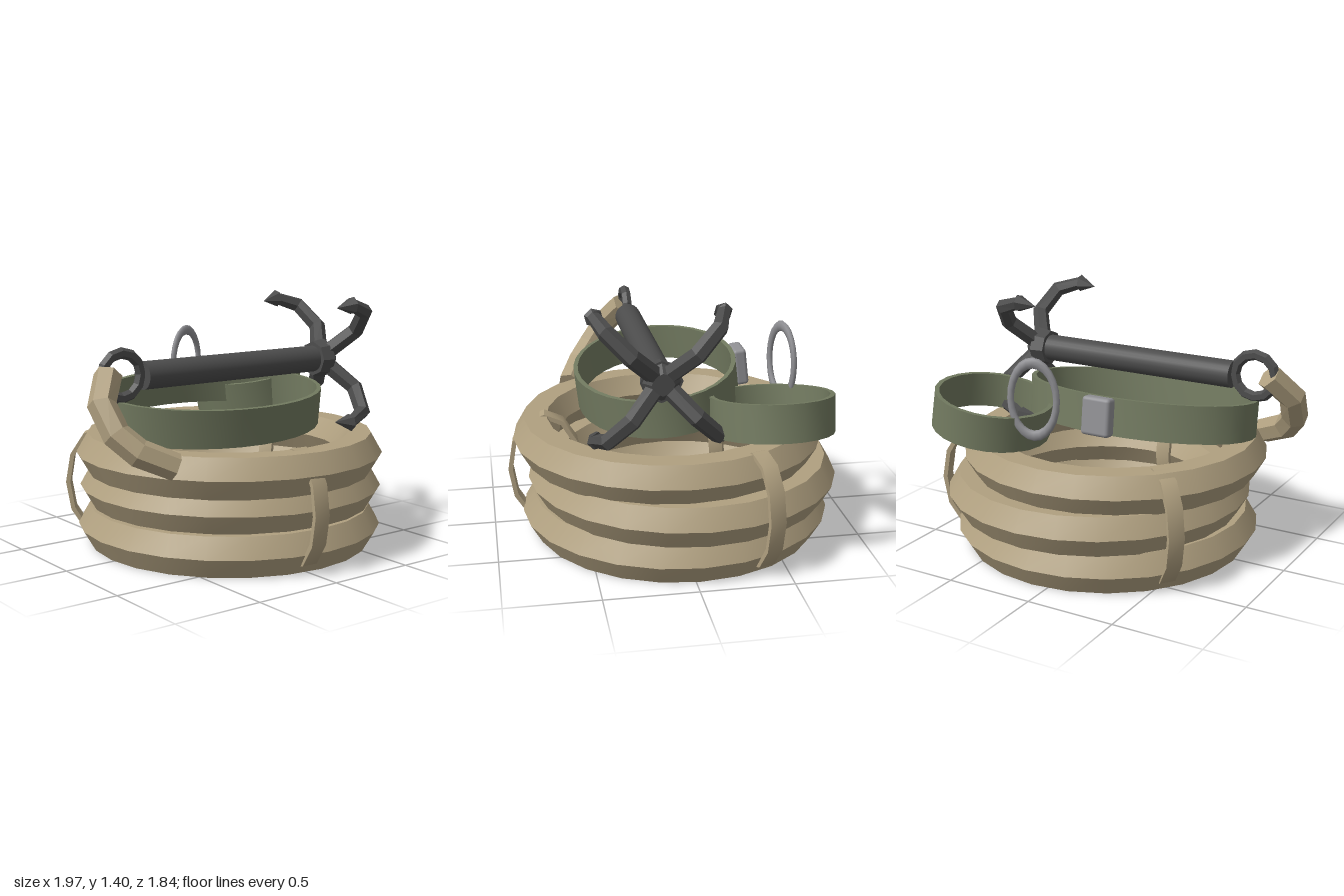
import * as THREE from 'three';
import { toCreasedNormals } from 'three/addons/utils/BufferGeometryUtils.js';
import { RoundedBoxGeometry } from 'three/addons/geometries/RoundedBoxGeometry.js';

const mat = (color, flatShading = false) => new THREE.MeshStandardMaterial({ color, flatShading });
const rope = mat(0xb0a080), ropeFlat = mat(0xb0a080, true);
const canvas = mat(0x727a60), metal = mat(0x909094);
const iron = mat(0x4c4c4c), ironFlat = mat(0x4c4c4c, true);

function add(parent, name, geometry, material, x = 0, y = 0, z = 0) {
  const mesh = new THREE.Mesh(geometry, material);
  mesh.name = name;
  mesh.position.set(x, y, z);
  parent.add(mesh);
  return mesh;
}

// Flat strip bent into an oval, its width centred along z
function ovalStrip(rx, ry, thickness, width, segments) {
  const shape = new THREE.Shape().absellipse(0, 0, rx, ry, 0, Math.PI * 2);
  shape.holes.push(new THREE.Path().absellipse(0, 0, rx - thickness, ry - thickness, 0, Math.PI * 2));
  const g = new THREE.ExtrudeGeometry(shape, { depth: width, bevelEnabled: false, curveSegments: segments / 2 });
  return toCreasedNormals(g.translate(0, 0, -width / 2), 0.7);
}

// Sided bar along points with a radius at each; ref is the normal of the bend
function sweep(points, radii, sides, ref) {
  const pts = points.map(p => new THREE.Vector3(...p));
  const last = pts.length - 1, rings = [];
  pts.forEach((p, i) => {
    const into = p.clone().sub(pts[Math.max(i - 1, 0)]).normalize();
    const t = pts[Math.min(i + 1, last)].clone().sub(p).normalize().add(into).normalize();
    const u = ref.clone().cross(t).normalize(), v = t.clone().cross(u);
    const ring = r => Array.from({ length: sides }, (_, j) => {
      const a = (j + 0.5) / sides * Math.PI * 2;
      return p.clone().addScaledVector(u, r * Math.cos(a)).addScaledVector(v, r * Math.sin(a));
    });
    if (i === 0) rings.push(ring(0));
    rings.push(ring(radii[i]));
    if (i === last && radii[i] > 0) rings.push(ring(0));
  });
  const pos = [];
  const tri = (a, b, c) => {
    if (a.distanceTo(b) > 1e-6 && b.distanceTo(c) > 1e-6 && c.distanceTo(a) > 1e-6)
      for (const q of [a, b, c]) pos.push(q.x, q.y, q.z);
  };
  for (let i = 0; i + 1 < rings.length; i++)
    for (let j = 0; j < sides; j++) {
      const k = (j + 1) % sides;
      tri(rings[i][j], rings[i][k], rings[i + 1][k]);
      tri(rings[i][j], rings[i + 1][k], rings[i + 1][j]);
    }
  const g = new THREE.BufferGeometry();
  g.setAttribute('position', new THREE.Float32BufferAttribute(pos, 3));
  g.computeVertexNormals();
  return g;
}

export function createModel() {
  const model = new THREE.Group();
  model.name = 'coiledGrapplingRope';

  // Three stacked, slightly shifted rope coils
  const coil = toCreasedNormals(new THREE.TorusGeometry(0.738, 0.127, 6, 24).rotateX(-Math.PI / 2), 0.6);
  [[0.095, 0.11, -0.025], [0.13, 0.325, -0.06], [0.065, 0.535, 0.015]]
    .forEach(p => add(model, 'ropeCoil', coil, rope, ...p));

  // Ties looped around the coils: centre x, z and outward direction x, z
  const tie = ovalStrip(0.21, 0.325, 0.025, 0.09, 12);
  [[0, 0.7, -0.08, 1], [0.77, -0.35, 0.96, -0.29], [-0.48, -0.47, -0.8, -0.6]].forEach(([x, z, dx, dz]) => {
    add(model, 'coilTie', tie, rope, x, 0.33, z).rotation.y = Math.atan2(-dz, dx);
  });

  // Large belt loop with its buckle block
  const belt = new THREE.Group();
  belt.name = 'belt';
  belt.position.set(-0.08, 0.8, 0.055);
  belt.rotation.x = 0.115;
  add(belt, 'beltLoop', ovalStrip(0.685, 0.455, 0.025, 0.205, 32).rotateX(-Math.PI / 2), canvas);
  add(belt, 'buckle', new RoundedBoxGeometry(0.17, 0.21, 0.075, 2, 0.02), metal, 0, 0, -0.485);
  model.add(belt);

  // Small belt loop
  add(model, 'smallBeltLoop', ovalStrip(0.33, 0.33, 0.025, 0.2, 24).rotateX(-Math.PI / 2), canvas, 0.58, 0.79, -0.46)
    .rotation.z = 0.17;

  // Upright oval metal ring
  const ring = add(model, 'metalRing', new THREE.TorusGeometry(0.2, 0.03, 8, 24), metal, 0.207, 0.95, -0.605);
  ring.scale.set(0.63, 1, 0.5);
  ring.rotation.y = 0.3;

  // Grappling hook lying along x
  const hook = new THREE.Group();
  hook.name = 'grapplingHook';
  hook.position.set(0, 1.02, 0.14);
  const rod = (name, r0, r1, x0, x1, sides, material) => add(hook, name,
    new THREE.CylinderGeometry(r1, r0, x1 - x0, sides).rotateZ(-Math.PI / 2), material, (x0 + x1) / 2);
  rod('shaft', 0.075, 0.075, -0.6, 0.6, 24, iron);
  rod('collar', 0.1, 0.112, 0.58, 0.66, 8, ironFlat);
  rod('hub', 0.1, 0.06, 0.66, 0.71, 8, ironFlat);
  add(hook, 'eye', new THREE.TorusGeometry(0.118, 0.03, 6, 12), ironFlat, -0.73, 0.01, 0);
  const prong = sweep(
    [[0.65, 0.03, 0], [0.76, 0.235, 0], [0.71, 0.405, 0], [0.58, 0.465, 0], [0.575, 0.466, 0], [0.47, 0.45, 0]],
    [0.05, 0.048, 0.045, 0.036, 0.05, 0], 6, new THREE.Vector3(0, 0, 1));
  for (let i = 0; i < 4; i++)
    add(hook, 'prong', prong, ironFlat).rotation.x = Math.PI / 4 + i * Math.PI / 2;
  model.add(hook);

  // Rope end running from the eye down to the top coil
  add(model, 'ropeEnd', sweep(
    [[-0.81, 1.04, 0.14], [-0.91, 0.91, 0.24], [-0.89, 0.77, 0.34], [-0.81, 0.68, 0.42], [-0.64, 0.6, 0.5]],
    [0.075, 0.075, 0.075, 0.075, 0.072], 6, new THREE.Vector3(0, 0.64, 0.77)), ropeFlat);

  return model;
}
